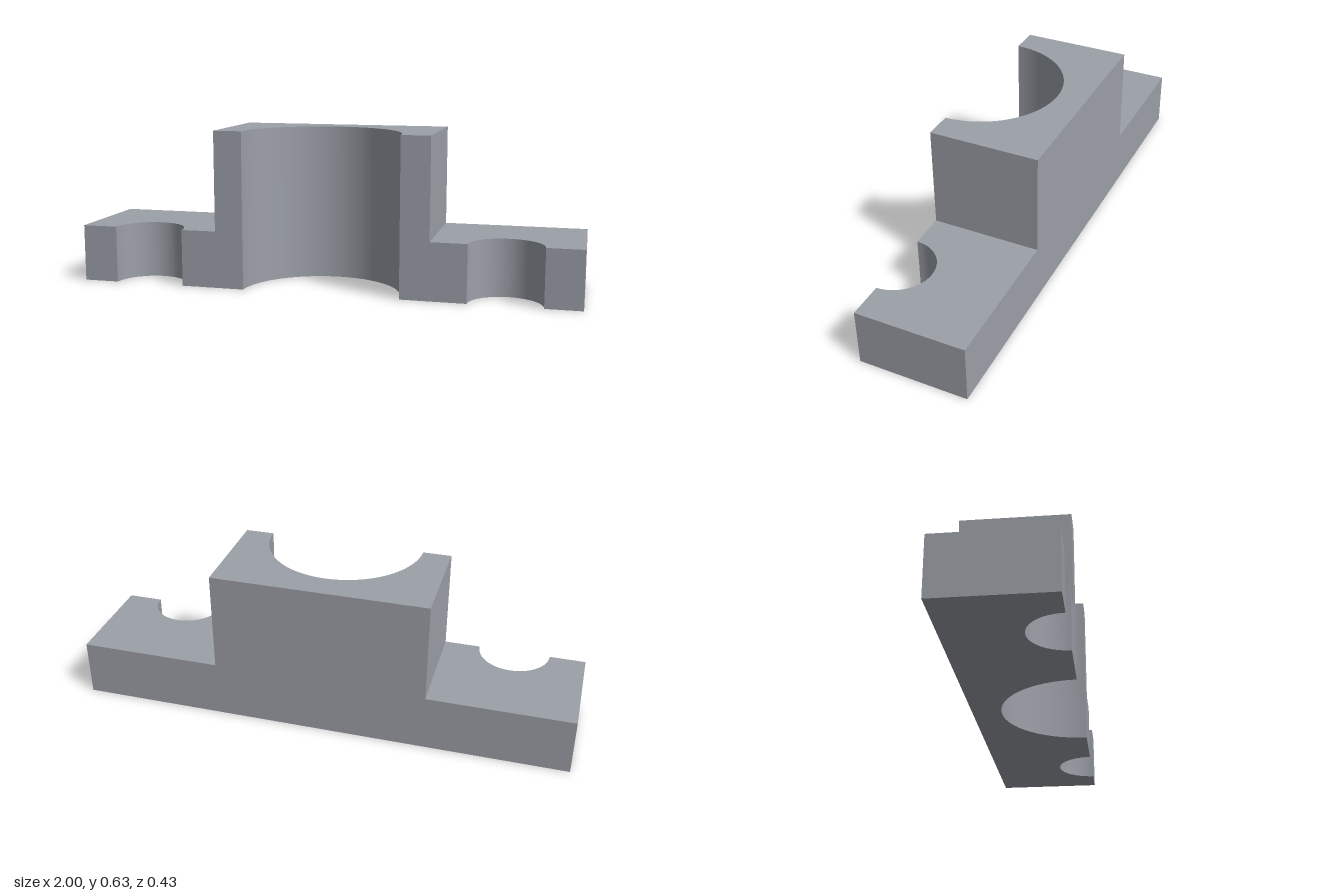
import * as THREE from 'three';
import { toCreasedNormals } from 'three/addons/utils/BufferGeometryUtils.js';

const U = 1 / 7; // base unit: the bracket is 14 units long
const HALF_DEPTH = 1.5 * U;

// Upright block from x0 to x1 with a half-round notch cut through its front face
function notchedBlock(name, x0, x1, height, notchX, notchRadius, material) {
  const plan = new THREE.Shape();
  plan.moveTo(x0, -HALF_DEPTH);
  plan.lineTo(notchX - notchRadius, -HALF_DEPTH);
  plan.absarc(notchX, -HALF_DEPTH, notchRadius, Math.PI, 0, true);
  plan.lineTo(x1, -HALF_DEPTH);
  plan.lineTo(x1, HALF_DEPTH);
  plan.lineTo(x0, HALF_DEPTH);
  plan.closePath();

  const geometry = new THREE.ExtrudeGeometry(plan, { depth: height, bevelEnabled: false, curveSegments: 48 });
  geometry.rotateX(-Math.PI / 2); // plan lies on the ground, extruded upward
  const mesh = new THREE.Mesh(toCreasedNormals(geometry, Math.PI / 6), material);
  mesh.name = name;
  return mesh;
}

export function createModel() {
  const group = new THREE.Group();
  group.name = 'halfBracket';
  const material = new THREE.MeshStandardMaterial({ color: 0x9ca0a8 }); // blue-grey steel

  // Tall central block with the main half bore
  group.add(notchedBlock('boreBlock', -3 * U, 3 * U, 4.4 * U, 0, 2.2 * U, material));

  // Low flanges with half bolt holes
  group.add(notchedBlock('leftFlange', 3 * U, 7 * U, 1.6 * U, 5 * U, U, material));
  group.add(notchedBlock('rightFlange', -7 * U, -3 * U, 1.6 * U, -5 * U, U, material));

  return group;
}
